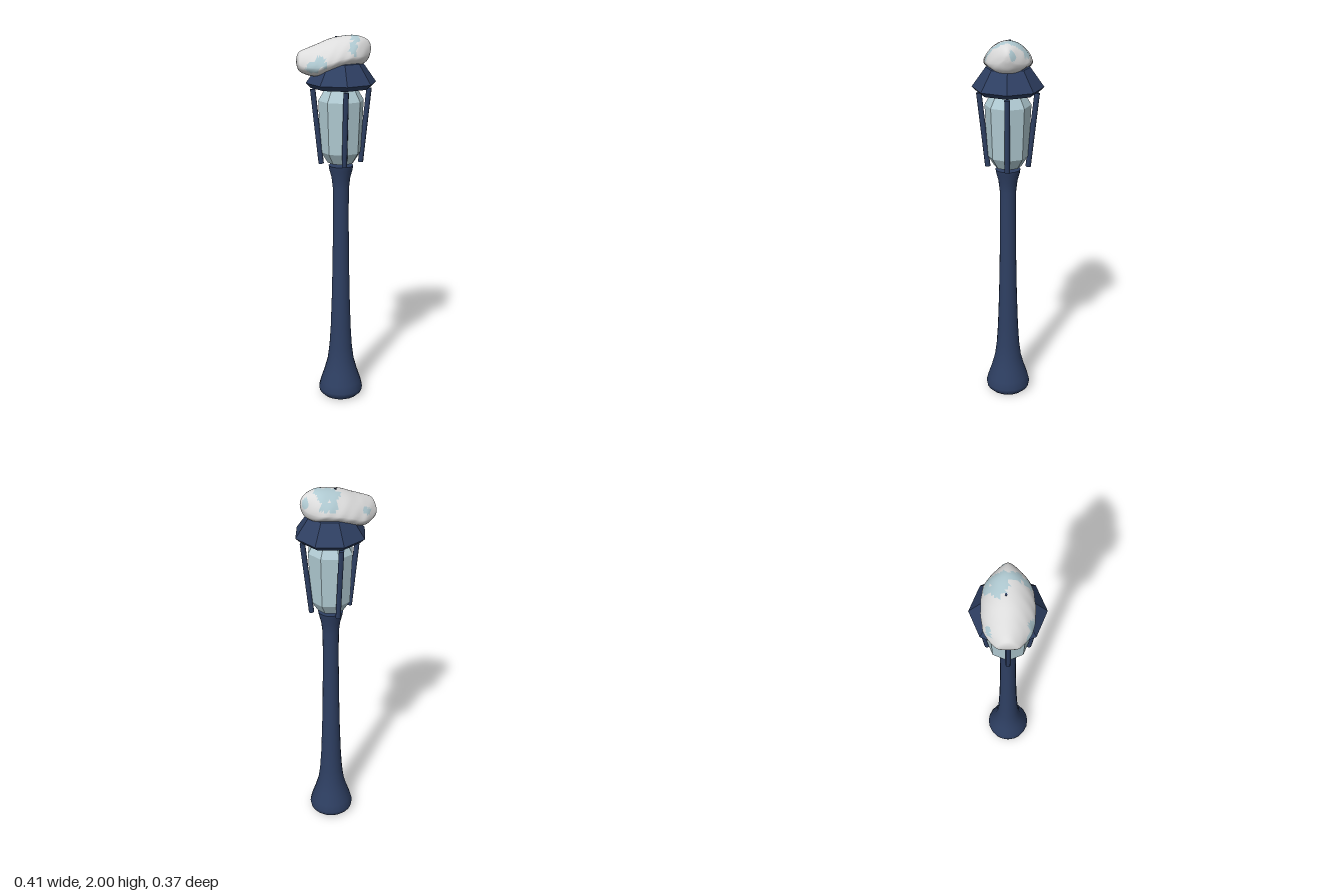
import * as THREE from 'three';

const AXIS_X = 0.021; // the lamp stands slightly off centre, the snow hangs to one side

const makeMaterial = (name, color) => {
  const m = new THREE.MeshStandardMaterial({ color });
  m.name = name;
  return m;
};

const lathe = (profile, sides) =>
  new THREE.LatheGeometry(profile.map(([r, y]) => new THREE.Vector2(r, y)), sides);

const faceted = (geometry) => {
  const g = geometry.toNonIndexed();
  g.computeVertexNormals();
  return g;
};

// Snow cross-sections along x: [x, top, bottom, half width]
const SNOW = [
  [-0.207, 1.87, 1.87, 0], [-0.204, 1.90, 1.845, 0.045], [-0.19, 1.922, 1.82, 0.064],
  [-0.14, 1.943, 1.80, 0.103], [-0.10, 1.958, 1.80, 0.117], [-0.04, 1.982, 1.82, 0.124],
  [0.02, 1.995, 1.838, 0.121], [0.08, 2.0, 1.848, 0.109], [0.12, 1.993, 1.85, 0.084],
  [0.155, 1.977, 1.872, 0.045], [0.171, 1.955, 1.91, 0.018], [0.174, 1.935, 1.935, 0],
];

// Icy patches: centre x, y, z and radii
const ICE = [
  [0.035, 1.99, -0.045, 0.048, 0.06, 0.045], [0.085, 1.98, -0.01, 0.027, 0.05, 0.085],
  [0.055, 1.94, -0.09, 0.05, 0.03, 0.03], [0.065, 1.93, 0.08, 0.022, 0.04, 0.035],
  [-0.10, 1.875, 0.10, 0.034, 0.032, 0.035], [-0.14, 1.85, 0.10, 0.03, 0.03, 0.05],
  [-0.135, 1.89, -0.09, 0.025, 0.02, 0.025], [0.158, 1.95, -0.025, 0.014, 0.03, 0.02],
];

function snowGeometry() {
  const curve = (f) => new THREE.CatmullRomCurve3(SNOW.map(f), false, 'catmullrom', 0.5);
  const heights = curve(([x, t, b]) => new THREE.Vector3(x, t, b));
  const widths = curve(([x, , , w]) => new THREE.Vector3(x, w, 0));
  const N = 44, M = 40, pos = [], snow = [], ice = [];
  for (let i = 0; i <= N; i++) {
    const { x, y: top, z: bottom } = heights.getPoint(i / N);
    const half = Math.max(0, widths.getPoint(i / N).y), h = top - bottom;
    for (let j = 0; j < M; j++) {
      const a = (j / M) * Math.PI * 2, c = Math.cos(a);
      const lump = 1 + 0.018 * Math.sin(5 * a + 40 * x) * Math.sin(55 * x + 2 * a);
      const y = bottom + h * (0.36 + (c > 0 ? 0.64 : 0.36) * c);
      pos.push(x, y, half * Math.sin(a) * (1 - 0.18 * Math.max(0, c)) * lump);
    }
  }
  const isIce = (tri) => {
    const p = [0, 1, 2].map((k) => tri.reduce((s, v) => s + pos[v * 3 + k], 0) / 3);
    const rough = 1 + 0.22 * Math.sin(p[0] * 130 + p[2] * 70) * Math.cos(p[2] * 110 - p[1] * 90);
    return ICE.some(([x, y, z, rx, ry, rz]) =>
      Math.hypot((p[0] - x) / rx, (p[1] - y) / ry, (p[2] - z) / rz) < rough);
  };
  for (let i = 0; i < N; i++) {
    for (let j = 0; j < M; j++) {
      const a = i * M + j, b = i * M + ((j + 1) % M), c = a + M, d = b + M;
      for (const tri of [[a, b, c], [b, d, c]]) (isIce(tri) ? ice : snow).push(...tri);
    }
  }
  const g = new THREE.BufferGeometry();
  g.setAttribute('position', new THREE.Float32BufferAttribute(pos, 3));
  g.setIndex([...snow, ...ice]);
  g.addGroup(0, snow.length, 0);
  g.addGroup(snow.length, ice.length, 1);
  g.computeVertexNormals();
  return g;
}

export function createModel() {
  const navy = makeMaterial('navy metal', 0x2e3f62);
  const pale = makeMaterial('pale ice blue', 0xb0cad2);
  const white = makeMaterial('snow white', 0xdcdcdc);

  const model = new THREE.Group();
  model.name = 'snowyStreetLamp';
  const lamp = new THREE.Group();
  lamp.name = 'lamp';
  lamp.position.x = AXIS_X;
  model.add(lamp);

  const add = (parent, name, geometry, material) => {
    const mesh = new THREE.Mesh(geometry, material);
    mesh.name = name;
    parent.add(mesh);
    return mesh;
  };

  // Flared pole with closed ends
  add(lamp, 'pole', lathe([
    [0.10, 0], [0.118, 0.018], [0.122, 0.04], [0.112, 0.08], [0.092, 0.14], [0.073, 0.21],
    [0.063, 0.29], [0.056, 0.4], [0.049, 0.6], [0.045, 0.8], [0.042, 1.05], [0.043, 1.2],
    [0.05, 1.26], [0.062, 1.305], [0.065, 1.325],
  ], 20), navy);
  add(lamp, 'poleBottom', new THREE.CircleGeometry(0.10, 20).rotateX(Math.PI / 2), navy);
  add(lamp, 'poleTop', new THREE.CircleGeometry(0.065, 20).rotateX(-Math.PI / 2), navy)
    .position.y = 1.325;

  // Eight-sided glass
  add(lamp, 'glass', faceted(lathe([
    [0, 1.342], [0.07, 1.342], [0.107, 1.4], [0.119, 1.67], [0.085, 1.728], [0, 1.728],
  ], 8)), pale);

  // Four leaning rods around the glass
  const lean = Math.atan2(0.042, 0.39);
  for (let i = 0; i < 4; i++) {
    const side = new THREE.Group();
    side.name = 'rodSide';
    side.rotation.y = (i * Math.PI) / 2;
    const rod = add(side, 'rod', new THREE.CylinderGeometry(0.014, 0.014, 0.393, 8), navy);
    rod.position.set(0.126, 1.535, 0);
    rod.rotation.z = -lean;
    lamp.add(side);
  }

  // Eight-sided roof
  add(lamp, 'roof', faceted(lathe([
    [0, 1.745], [0.157, 1.737], [0.183, 1.762], [0.112, 1.862], [0, 1.89],
  ], 8)), navy);

  // Snow heap with icy patches, and the roof tip just showing through
  add(model, 'snowHeap', snowGeometry(), [white, pale]);
  add(model, 'roofTip', new THREE.CylinderGeometry(0.006, 0.006, 0.12, 6), navy)
    .position.set(-0.002, 1.934, -0.008);

  return model;
}
